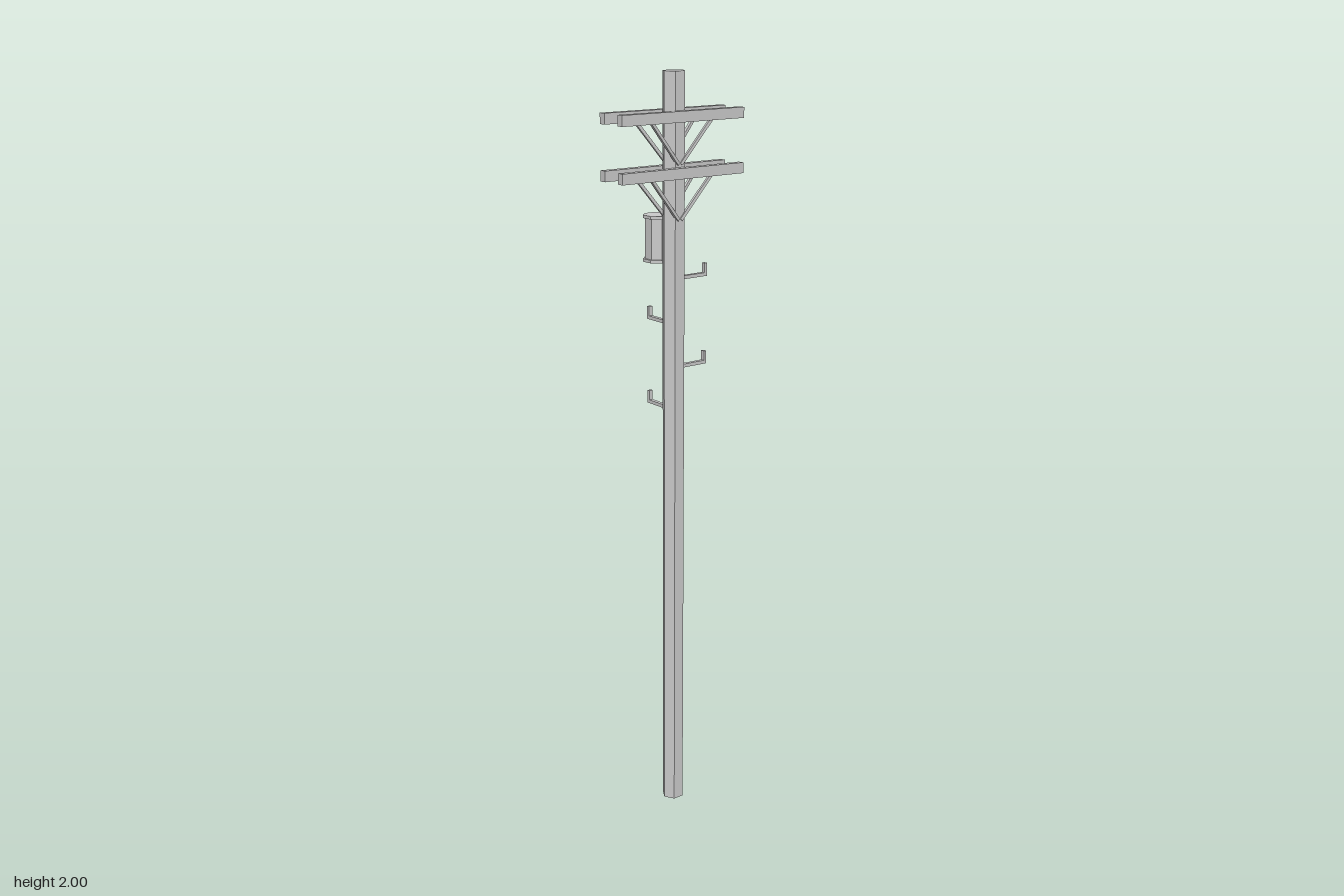
import * as THREE from 'three';

const material = new THREE.MeshStandardMaterial({ color: 0xcccccc, flatShading: true });
const POLE_X = 0.028;

export function createModel() {
  const model = new THREE.Group();
  model.name = 'utilityPole';

  const add = (parent, name, geometry, x, y, z) => {
    const mesh = new THREE.Mesh(geometry, material);
    mesh.name = name;
    mesh.position.set(x, y, z);
    parent.add(mesh);
    return mesh;
  };

  // Square bar running between two points
  const addStrut = (parent, name, from, to, size) => {
    const a = new THREE.Vector3(...from), b = new THREE.Vector3(...to);
    const mid = a.clone().add(b).multiplyScalar(0.5);
    const bar = add(parent, name, new THREE.BoxGeometry(size, size, a.distanceTo(b)), mid.x, mid.y, mid.z);
    bar.lookAt(b);
  };

  // Hexagonal pole
  add(model, 'pole', new THREE.CylinderGeometry(0.03, 0.03, 2, 6), POLE_X, 1, -0.001);

  // Two tiers of paired crossarms, each with a V of braces
  for (const y of [1.892, 1.754]) {
    const tier = new THREE.Group();
    tier.name = 'crossarmTier';
    model.add(tier);
    for (const side of [-1, 1]) {
      add(tier, 'crossarm', new THREE.BoxGeometry(0.019, 0.027, 0.38), POLE_X + side * 0.0365, y, 0);
      for (const end of [-1, 1]) {
        addStrut(tier, 'brace',
          [POLE_X + side * 0.034, y - 0.01, end * 0.094],
          [POLE_X + side * 0.025, y - 0.117, end * 0.004], 0.008);
      }
    }
  }

  // Octagonal transformer can with a rim at each end
  const transformer = new THREE.Group();
  transformer.name = 'transformer';
  transformer.position.set(-0.036, 1.58, -0.001);
  model.add(transformer);
  const addOctagon = (name, radius, height, y) =>
    add(transformer, name, new THREE.CylinderGeometry(radius, radius, height, 8), 0, y, 0)
      .rotation.y = Math.PI / 8;
  addOctagon('can', 0.035, 0.116, 0);
  addOctagon('topRim', 0.04, 0.008, 0.056);
  addOctagon('bottomRim', 0.04, 0.008, -0.056);

  // Climbing pegs with upturned tips, alternating between two faces
  const pegs = [
    [1.484, 0], [1.366, Math.PI / 2], [1.251, 0], [1.138, Math.PI / 2],
  ];
  for (const [y, turn] of pegs) {
    const peg = new THREE.Group();
    peg.name = 'climbingPeg';
    peg.position.set(POLE_X, y, -0.001);
    peg.rotation.y = turn;
    model.add(peg);
    add(peg, 'pegBar', new THREE.BoxGeometry(0.011, 0.009, 0.085), 0, 0, -0.0625);
    add(peg, 'pegTip', new THREE.BoxGeometry(0.011, 0.034, 0.008), 0, 0.0125, -0.101);
  }

  return model;
}
